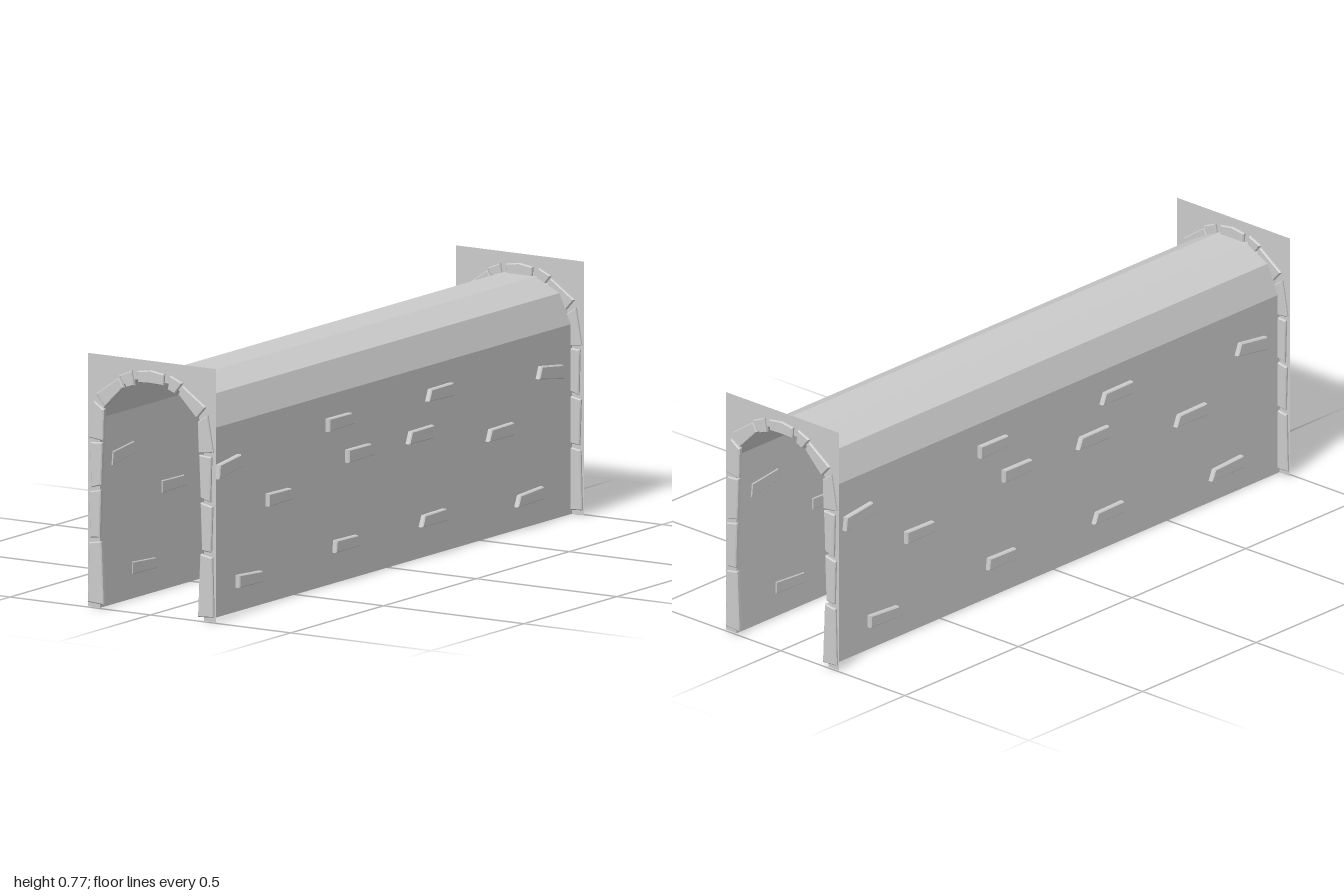
import * as THREE from 'three';

const END = 0.992; // z of the end plates

// Right half of the vault profile, ground to crown
const HALF = [[0.185, 0], [0.185, 0.575], [0.145, 0.665], [0.058, 0.706]];
const PROFILE = [...HALF.map(([x, y]) => [-x, y]), ...HALF.slice().reverse()];

// Arch stones of one side (x, y), bottom to top
const STONES = [
  [[0.168, 0.012], [0.224, 0.015], [0.219, 0.196], [0.176, 0.203]],
  [[0.182, 0.214], [0.215, 0.211], [0.22, 0.35], [0.177, 0.359]],
  [[0.177, 0.373], [0.212, 0.363], [0.216, 0.5], [0.172, 0.503]],
  [[0.17, 0.508], [0.222, 0.514], [0.202, 0.626], [0.167, 0.603]],
  [[0.163, 0.612], [0.196, 0.649], [0.113, 0.706], [0.098, 0.677]],
  [[0.085, 0.678], [0.113, 0.713], [0.068, 0.732], [0.06, 0.688]],
];
const KEYSTONE = [[-0.045, 0.698], [0, 0.7], [0.045, 0.698], [0.048, 0.733], [0, 0.74], [-0.048, 0.733]];

// Wall bricks of one quarter (z, y)
const BRICKS = [
  [[0.93, 0.42], [0.925, 0.463], [0.81, 0.477], [0.795, 0.44]],
  [[0.335, 0.466], [0.335, 0.506], [0.215, 0.505], [0.2, 0.47]],
  [[0.23, 0.355], [0.23, 0.395], [0.11, 0.394], [0.095, 0.358]],
  [[0.66, 0.293], [0.66, 0.332], [0.54, 0.33], [0.525, 0.295]],
  [[0.82, 0.073], [0.82, 0.112], [0.695, 0.105], [0.68, 0.071]],
  [[0.3, 0.094], [0.295, 0.131], [0.18, 0.129], [0.165, 0.095]],
];

const stoneMaterial = new THREE.MeshStandardMaterial({ color: 0xcccccc, flatShading: true });
const sheetMaterial = new THREE.MeshStandardMaterial({ color: 0xcccccc, flatShading: true, side: THREE.DoubleSide });

const toShape = (points) => new THREE.Shape(points.map(([x, y]) => new THREE.Vector2(x, y)));

function addMesh(parent, name, geometry, material) {
  const mesh = new THREE.Mesh(geometry, material);
  mesh.name = name;
  parent.add(mesh);
  return mesh;
}

// Slab with a narrow chamfer, centred on its thickness
function slab(points, thickness) {
  const bevel = 0.003;
  const geometry = new THREE.ExtrudeGeometry(toShape(points), {
    depth: thickness - 2 * bevel, bevelEnabled: true, bevelSegments: 1,
    bevelSize: bevel, bevelThickness: bevel, bevelOffset: -bevel,
  });
  return geometry.translate(0, 0, bevel - thickness / 2);
}

// Thin vaulted sheet running the length of the tunnel
function tunnelGeometry() {
  const geometry = new THREE.PlaneGeometry(1, 1, PROFILE.length - 1, 1);
  const position = geometry.attributes.position;
  for (let i = 0; i < position.count; i++) {
    const [x, y] = PROFILE[i % PROFILE.length];
    position.setXYZ(i, x, y, i < PROFILE.length ? -END : END);
  }
  const flat = geometry.toNonIndexed();
  flat.computeVertexNormals();
  return flat;
}

export function createModel() {
  const model = new THREE.Group();
  model.name = 'tunnel';
  addMesh(model, 'vault', tunnelGeometry(), sheetMaterial);

  // Portals: square-topped plate with an arched cut-out, framed by stones
  const top = 0.768, side = 0.228;
  const plate = new THREE.ShapeGeometry(toShape([...PROFILE, [side, 0], [side, top], [-side, top], [-side, 0]]));
  for (const end of [1, -1]) {
    const portal = new THREE.Group();
    portal.name = end > 0 ? 'frontPortal' : 'backPortal';
    portal.position.z = end * END;
    if (end < 0) portal.rotation.y = Math.PI;
    addMesh(portal, 'portalPlate', plate, sheetMaterial);
    for (const points of STONES) {
      for (const s of [1, -1]) {
        addMesh(portal, 'archStone', slab(points.map(([x, y]) => [s * x, y]), 0.016), stoneMaterial);
      }
    }
    addMesh(portal, 'keystone', slab(KEYSTONE, 0.016), stoneMaterial);
    model.add(portal);
  }

  // Bricks standing proud of both walls, mirrored along the length
  for (const s of [1, -1]) {
    const wall = new THREE.Group();
    wall.name = s > 0 ? 'leftBricks' : 'rightBricks';
    for (const points of BRICKS) {
      for (const end of [1, -1]) {
        const geometry = slab(points.map(([z, y]) => [-s * end * z, y]), 0.018);
        geometry.rotateY(s * Math.PI / 2).translate(s * 0.191, 0, 0);
        addMesh(wall, 'wallBrick', geometry, stoneMaterial);
      }
    }
    model.add(wall);
  }
  return model;
}
